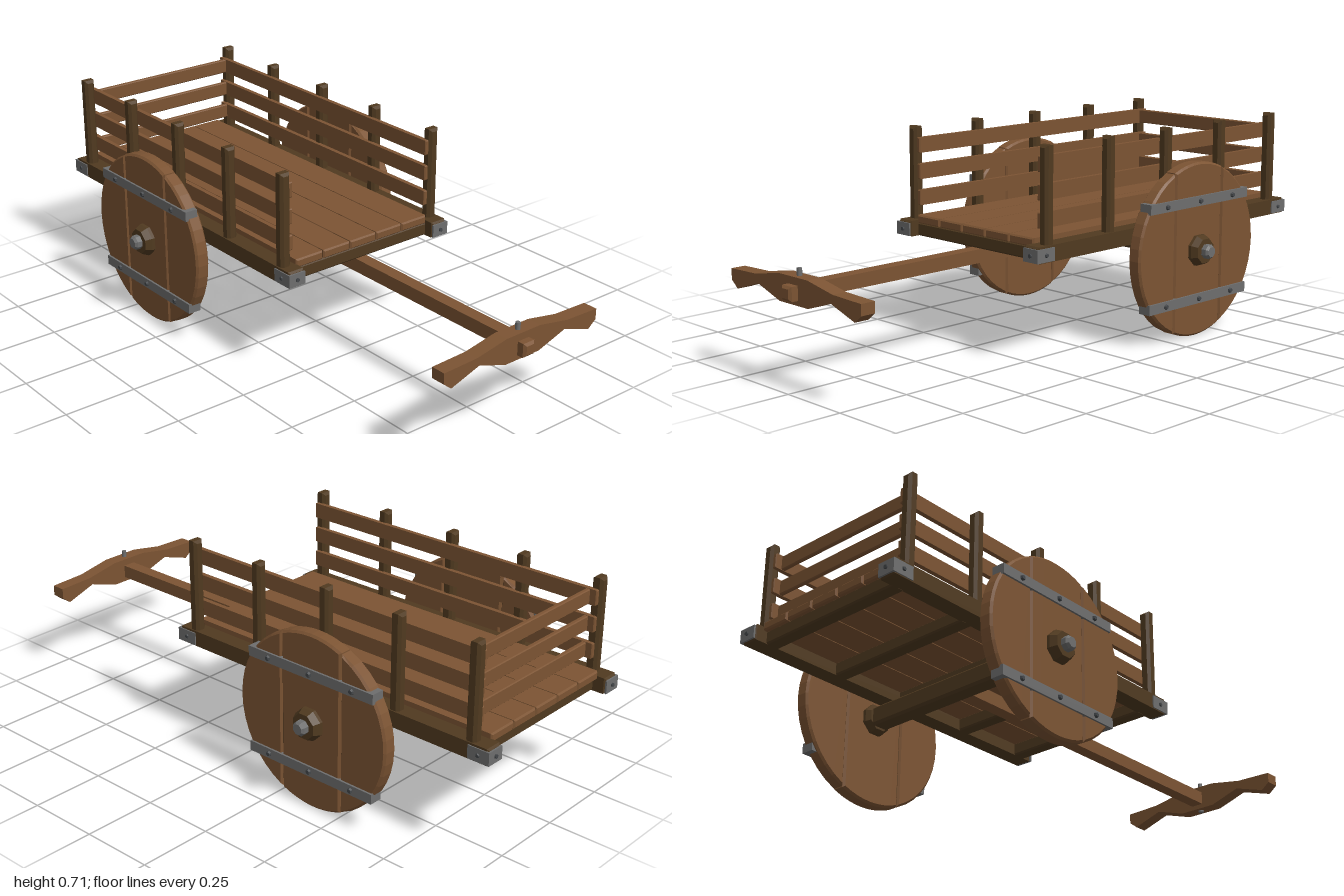
import * as THREE from 'three';

const mat = (name, color) => Object.assign(new THREE.MeshStandardMaterial({ color }), { name });

// Box with chamfered edges, centred on its origin
function chamferBox(w, h, d, c) {
  const x = w / 2 - c, y = h / 2 - c;
  const s = new THREE.Shape([[-x, -y], [x, -y], [x, y], [-x, y]].map(p => new THREE.Vector2(...p)));
  return new THREE.ExtrudeGeometry(s, {
    depth: d - 2 * c, bevelEnabled: true, bevelSegments: 1, bevelSize: c, bevelThickness: c,
  }).translate(0, 0, c - d / 2);
}

// Faceted turned part whose axis points along side * x
function turnedX(points, sides, side) {
  const g = new THREE.LatheGeometry(points.map(p => new THREE.Vector2(...p)), sides, Math.PI / sides).toNonIndexed();
  g.computeVertexNormals();
  return g.rotateZ(-side * Math.PI / 2);
}

// One board of a disc wheel: the slice of a circle between a and b
function wheelBoard(r, a, b, thick, c) {
  const pts = [], n = 8, R = r - c;
  const t0 = Math.acos(Math.max(-1, (a + c) / R)), t1 = Math.acos(Math.min(1, (b - c) / R));
  for (const sign of [1, -1]) {
    for (let i = 0; i <= n; i++) {
      const k = sign > 0 ? i / n : 1 - i / n;
      const t = t1 + (t0 - t1) * k;
      const p = new THREE.Vector2(R * Math.cos(t), sign * R * Math.sin(t));
      if (!pts.some(q => q.distanceTo(p) < 1e-4)) pts.push(p);
    }
  }
  return new THREE.ExtrudeGeometry(new THREE.Shape(pts), {
    depth: thick - 2 * c, bevelEnabled: true, bevelSegments: 1, bevelSize: c, bevelThickness: c,
  }).translate(0, 0, c - thick / 2).rotateY(Math.PI / 2);
}

export function createModel() {
  const root = new THREE.Group();
  root.name = 'handCart';
  const wood = mat('lightWood', 0x7c5433);
  const dark = mat('darkWood', 0x503a20);
  const iron = mat('iron', 0x6e6e6e);
  const bolt = mat('darkIron', 0x44474a);

  const add = (parent, name, geo, material, x = 0, y = 0, z = 0) => {
    const m = new THREE.Mesh(geo, material);
    m.name = name;
    m.position.set(x, y, z);
    parent.add(m);
    return m;
  };
  const group = name => {
    const g = new THREE.Group();
    g.name = name;
    root.add(g);
    return g;
  };

  const postZ = [0.22, -0.065, -0.35, -0.635, -0.92];
  const slatY = [0.467, 0.557, 0.647];

  // Floor planks and the beams beneath them
  const bed = group('bed');
  for (let i = -2; i <= 2; i++) {
    add(bed, 'floorPlank', chamferBox(0.109, 0.03, 1.205, 0.005), wood, i * 0.112, 0.396, -0.357);
  }
  for (const z of postZ) add(bed, 'crossBeam', chamferBox(0.56, 0.045, 0.05, 0.005), dark, 0, 0.362, z);

  for (const s of [1, -1]) {
    // Side rail with iron corner plates
    add(bed, 'sideRail', chamferBox(0.06, 0.054, 1.27, 0.006), dark, s * 0.305, 0.367, -0.355);
    for (const [z, e] of [[0.28, 1], [-0.99, -1]]) {
      add(bed, 'cornerEndPlate', new THREE.BoxGeometry(0.064, 0.044, 0.006), iron, s * 0.307, 0.365, z + e * 0.003);
      add(bed, 'cornerSidePlate', new THREE.BoxGeometry(0.006, 0.044, 0.075), iron, s * 0.336, 0.365, z - e * 0.034);
      add(bed, 'cornerBolt', new THREE.CylinderGeometry(0.007, 0.007, 0.01, 6).rotateX(Math.PI / 2), bolt, s * 0.307, 0.365, z + e * 0.006);
      add(bed, 'cornerBolt', turnedX([[0.008, 0], [0.006, 0.004], [0, 0.004]], 6, s), bolt, s * 0.339, 0.365, z - e * 0.034);
    }
    // Posts outside, slats inside
    const fence = group(s > 0 ? 'leftFence' : 'rightFence');
    for (const z of postZ) {
      add(fence, 'post', chamferBox(0.038, 0.36, 0.038, 0.009), dark, s * 0.312, 0.53, z);
    }
    for (const y of slatY) {
      add(fence, 'sideSlat', chamferBox(0.016, 0.052, 1.16, 0.003), wood, s * 0.288, y, -0.35);
    }
  }
  const back = group('backFence');
  for (const y of slatY) add(back, 'backSlat', chamferBox(0.59, 0.05, 0.016, 0.003), wood, 0, y, -0.898);

  // Axle and disc wheels
  const axleY = 0.302, axleZ = -0.39, R = 0.298;
  const running = group('runningGear');
  add(running, 'axle', chamferBox(0.74, 0.066, 0.066, 0.008), dark, 0, axleY, axleZ);
  for (const s of [1, -1]) {
    const wheel = group(s > 0 ? 'leftWheel' : 'rightWheel');
    wheel.position.set(s * 0.403, axleY, axleZ);
    for (const [a, b] of [[-R, -0.12], [-0.12, 0.12], [0.12, R]]) {
      add(wheel, 'wheelBoard', wheelBoard(R, a, b, 0.05, 0.007), wood);
    }
    // Dark core showing in the seams between boards
    add(wheel, 'wheelCore', new THREE.CylinderGeometry(0.275, 0.275, 0.034, 24).rotateZ(Math.PI / 2), dark);
    for (const y of [0.168, -0.168]) {
      add(wheel, 'strap', new THREE.BoxGeometry(0.046, 0.034, 0.505), iron, s * 0.009, y, 0);
      for (const z of [-0.17, 0, 0.17]) {
        add(wheel, 'strapBolt', turnedX([[0.01, 0], [0.007, 0.007], [0, 0.007]], 6, s), bolt, s * 0.032, y, z);
      }
    }
    add(wheel, 'hub', turnedX([[0, -0.053], [0.044, -0.053], [0.055, -0.036], [0.055, 0.036], [0.044, 0.058], [0, 0.058]], 8, s), dark);
    add(wheel, 'hubNut', turnedX([[0.025, 0.05], [0.025, 0.076], [0.018, 0.084], [0, 0.084]], 8, s), iron);
  }

  // Tongue with its bowed yoke
  const draw = group('drawGear');
  add(draw, 'tongue', chamferBox(0.046, 0.046, 1.42, 0.008), wood, 0, 0.313, 0.29);
  const half = [[0.07, 0.274], [0.18, 0.31], [0.29, 0.274], [0.32, 0.298], [0.32, 0.334], [0.19, 0.338], [0.07, 0.36]];
  const outline = [...half, ...half.map(([x, y]) => [-x, y]).reverse()];
  const yoke = new THREE.Shape(outline.map(p => new THREE.Vector2(...p)));
  add(draw, 'yoke', new THREE.ExtrudeGeometry(yoke, { depth: 0.05, bevelEnabled: false }), wood, 0, 0, 0.92);
  add(draw, 'yokePin', new THREE.CylinderGeometry(0.008, 0.011, 0.115, 8), iron, 0, 0.326, 0.945);

  return root;
}
